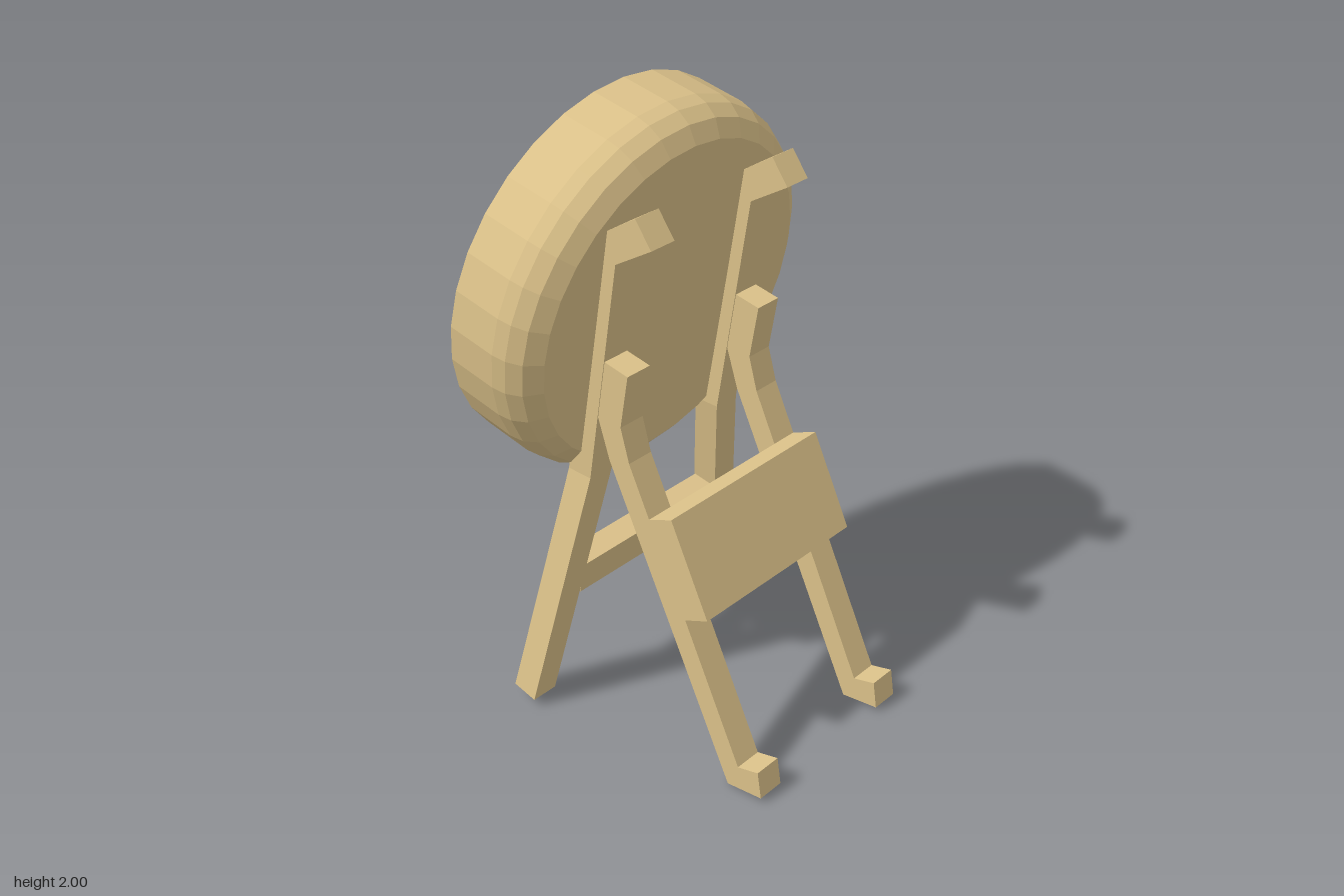
import * as THREE from 'three';

const mat = (name, color) => {
  const m = new THREE.MeshStandardMaterial({ color, flatShading: true });
  m.name = name;
  return m;
};

export function createModel() {
  const model = new THREE.Group();
  model.name = 'targetOnStand';
  const wood = mat('wood', 0xdcc28a);

  const add = (parent, name, geometry, material) => {
    const mesh = new THREE.Mesh(geometry, material);
    mesh.name = name;
    parent.add(mesh);
  };

  // Side profile in x/y, extruded from z0 to z1
  const slab = (points, z0, z1) => {
    const shape = new THREE.Shape(points.map(([x, y]) => new THREE.Vector2(x, y)));
    return new THREE.ExtrudeGeometry(shape, { depth: z1 - z0, bevelEnabled: false }).translate(0, 0, z0);
  };

  // Tilted round target: local y runs from the painted face to the back
  const target = new THREE.Group();
  target.name = 'target';
  target.position.set(-0.4175, 1.4025, 0);
  target.rotation.z = THREE.MathUtils.degToRad(-100.2);
  model.add(target);

  const profile = [[0.608, 0], [0.608, 0.17], [0.6, 0.215], [0.575, 0.26], [0.525, 0.295], [0, 0.298]];
  add(target, 'targetBody',
    new THREE.LatheGeometry(profile.map(([r, y]) => new THREE.Vector2(r, y)), 32), wood);

  // Painted rings from the centre outwards
  const rings = [
    ['yellow', 0xdfd331, 0.121], ['red', 0xe24e4e, 0.243], ['darkBrown', 0x70563a, 0.364],
    ['grey', 0xdcdcdc, 0.487], ['blue', 0x4e8adf, 0.608],
  ];
  let inner = 0;
  for (const [name, color, outer] of rings) {
    const geometry = inner ? new THREE.RingGeometry(inner, outer, 32) : new THREE.CircleGeometry(outer, 32);
    add(target, name + 'Ring', geometry.rotateX(Math.PI / 2), mat(name, color));
    inner = outer;
  }

  const IN = 0.238, OUT = 0.33, KINK = 0.87, SPLAY = 0.173;
  const upper = [[-0.255, KINK], [-0.164, KINK], [-0.034, 1.62], [0.103, 1.704], [0.045, 1.782], [-0.11, 1.683]];
  const lower = [[-0.402, 0.046], [-0.311, 0.03], [-0.164, KINK], [-0.255, KINK]];
  const rear = [
    [0.39, 0.002], [0.522, 0.021], [0.508, 0.112], [0.43, 0.09], [0.0, 0.99], [-0.031, 1.1],
    [0.002, 1.28], [-0.088, 1.296], [-0.122, 1.1], [-0.08, 0.97],
  ];

  for (const side of [1, -1]) {
    const label = side > 0 ? 'left' : 'right';
    const z0 = side > 0 ? IN : -OUT, z1 = side > 0 ? OUT : -IN;

    // Front leg: straight, hooked upper half and lower half splayed outwards
    add(model, label + 'UpperFrontLeg', slab(upper, z0, z1), wood);
    const foot = slab(lower, z0, z1);
    const p = foot.attributes.position;
    for (let i = 0; i < p.count; i++) p.setZ(i, p.getZ(i) + side * (KINK - p.getY(i)) * SPLAY);
    foot.computeVertexNormals();
    add(model, label + 'LowerFrontLeg', foot, wood);

    // Bent rear prop with a toe
    add(model, label + 'RearLeg', slab(rear, z0, z1), wood);
  }

  // Board resting on the rear legs
  add(model, 'rearBoard', slab([[0.0764, 0.83], [0.2174, 0.535], [0.305, 0.575], [0.165, 0.868]], -OUT, OUT), wood);

  // Rail between the splayed front legs
  add(model, 'frontRail', slab([[-0.333, 0.415], [-0.25, 0.4], [-0.23, 0.51], [-0.313, 0.525]], -0.31, 0.31), wood);

  return model;
}
